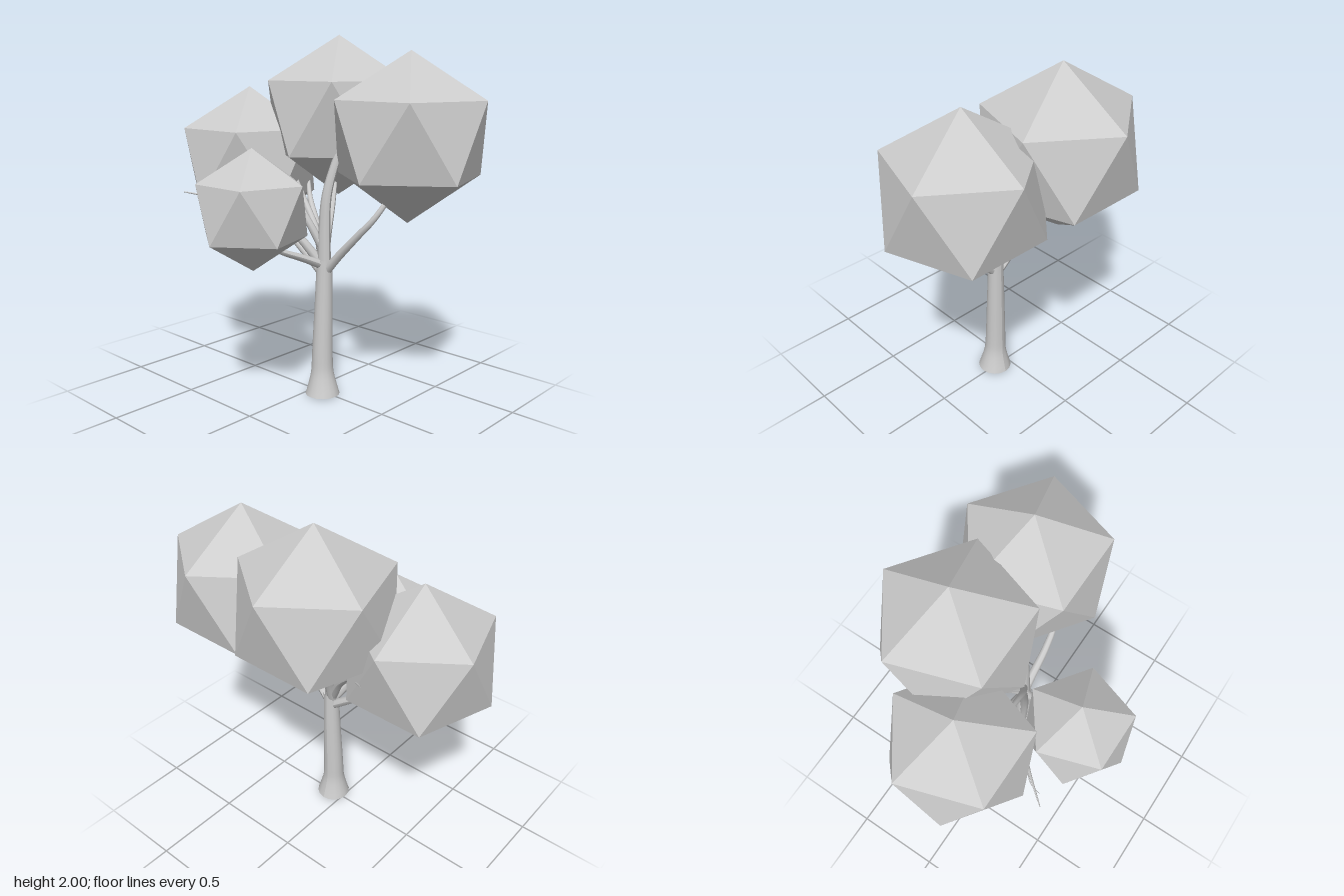
import * as THREE from 'three';

const grey = new THREE.MeshStandardMaterial({ color: 0xcccccc, side: THREE.DoubleSide });
grey.name = 'plain grey';

// Tube along a smooth path, its radius given by a function of 0..1
function taperedTube(points, radius, segments, sides) {
  const path = new THREE.CatmullRomCurve3(points.map(p => new THREE.Vector3(...p)));
  const geo = new THREE.TubeGeometry(path, segments, 1, sides);
  const pos = geo.attributes.position;
  const v = new THREE.Vector3();
  for (let i = 0; i <= segments; i++) {
    const t = i / segments;
    const centre = path.getPointAt(t);
    for (let j = 0; j <= sides; j++) {
      const k = i * (sides + 1) + j;
      v.fromBufferAttribute(pos, k).sub(centre).multiplyScalar(radius(t)).add(centre);
      pos.setXYZ(k, v.x, v.y, v.z);
    }
  }
  geo.computeVertexNormals();
  return geo;
}

function add(group, name, geometry) {
  const mesh = new THREE.Mesh(geometry, grey);
  mesh.name = name;
  group.add(mesh);
  return mesh;
}

export function createModel() {
  const tree = new THREE.Group();
  tree.name = 'tree';

  // Trunk: flared foot, slow taper, open underneath
  const trunkRadius = t => 0.065 - 0.022 * t + 0.032 * Math.max(0, 1 - t / 0.19) ** 1.3;
  add(tree, 'trunk', taperedTube(
    [[-0.015, 0, 0.083], [-0.012, 0.2, 0.078], [-0.005, 0.5, 0.08], [0, 0.78, 0.082]],
    trunkRadius, 24, 16));

  // Boughs: start radius, end radius, path
  const boughs = [
    ['leader', 0.04, 0.02, [[0, 0.7, 0.08], [0, 0.95, 0.08], [0.01, 1.15, 0.09], [0.07, 1.4, 0.13]]],
    ['frontBough', 0.028, 0.012, [[0, 0.7, 0.08], [0, 0.8, 0.17], [0, 0.94, 0.31], [0.02, 1.06, 0.42], [0.12, 1.25, 0.5]]],
    ['leftBough', 0.026, 0.01, [[0.01, 0.74, 0.08], [-0.12, 0.8, 0.05], [-0.29, 0.87, 0.02], [-0.42, 0.95, -0.02]]],
    ['backBough', 0.028, 0.012, [[0, 0.7, 0.07], [0, 0.79, -0.05], [0, 0.89, -0.19], [0, 0.97, -0.31], [0, 1.1, -0.45]]],
    ['backLeftBough', 0.028, 0.003, [[0, 0.74, 0.07], [-0.09, 0.92, -0.05], [-0.17, 1.03, -0.2], [-0.31, 1.1, -0.36], [-0.49, 1.15, -0.52]]],
    ['backRightBough', 0.028, 0.003, [[0, 0.76, 0.07], [0.07, 0.94, -0.04], [0.15, 1.08, -0.17], [0.27, 1.2, -0.3], [0.39, 1.3, -0.44]]],
    ['rightBough', 0.03, 0.012, [[0, 0.74, 0.07], [0.07, 0.92, 0.04], [0.15, 1.06, 0], [0.26, 1.3, -0.06]]],
    ['innerBackBough', 0.025, 0.01, [[0, 0.8, 0.07], [0.03, 0.95, -0.02], [0.06, 1.1, -0.14], [0.08, 1.3, -0.28]]],
    ['upperBackBough', 0.024, 0.01, [[0, 0.84, 0.07], [-0.05, 1, 0], [-0.08, 1.15, -0.1], [-0.1, 1.3, -0.3]]],
  ];
  for (const [name, r0, r1, points] of boughs) {
    add(tree, name, taperedTube(points, t => THREE.MathUtils.lerp(r0, r1, t), 16, 8));
  }

  // Thin twig forking off the back left bough
  add(tree, 'twig', taperedTube(
    [[-0.31, 1.1, -0.36], [-0.38, 1.12, -0.44], [-0.45, 1.12, -0.46]],
    t => 0.004 - 0.003 * t, 6, 5));

  // Foliage: icosahedra turned to stand on one corner
  const clumps = [
    ['backFoliage', 0.427, 0, 1.285, -0.51],
    ['rightFoliage', 0.455, 0.3, 1.545, -0.085],
    ['frontFoliage', 0.45, 0.215, 1.46, 0.48],
    ['leftFoliage', 0.323, -0.42, 1.098, -0.04],
  ];
  const tilt = Math.atan(2 / (1 + Math.sqrt(5)));
  for (const [name, radius, x, y, z] of clumps) {
    const geo = new THREE.IcosahedronGeometry(radius, 0).rotateZ(-tilt);
    add(tree, name, geo).position.set(x, y, z);
  }
  return tree;
}
